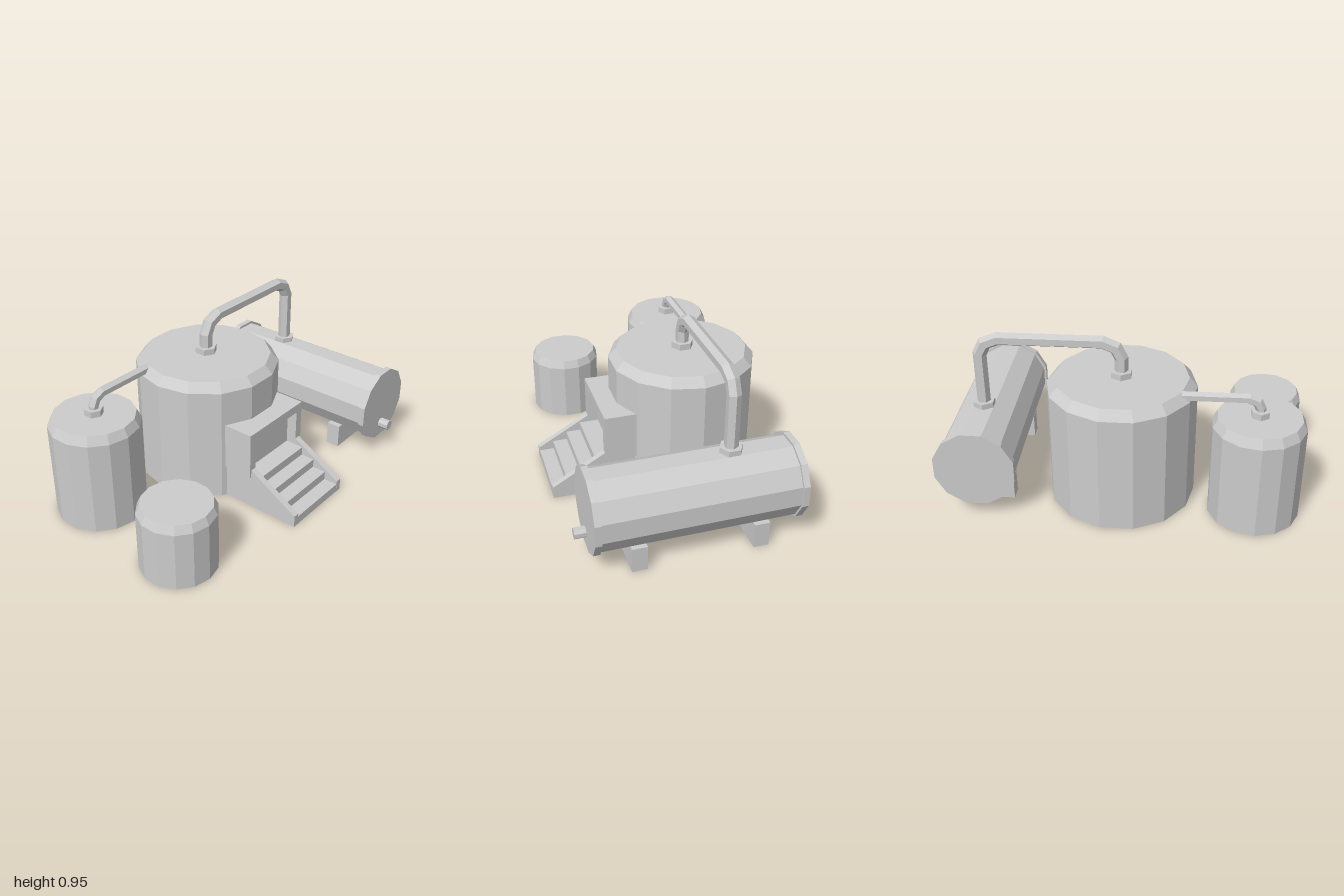
import * as THREE from 'three';

export function createModel() {
  const model = new THREE.Group();
  model.name = 'distillery';
  const metal = new THREE.MeshStandardMaterial({ color: 0xcccccc });
  metal.name = 'plain grey';

  // Every part is faceted, so normals are taken per face
  function add(name, geometry, x = 0, y = 0, z = 0) {
    const flat = geometry.index ? geometry.toNonIndexed() : geometry;
    flat.computeVertexNormals();
    const mesh = new THREE.Mesh(flat, metal);
    mesh.name = name;
    mesh.position.set(x, y, z);
    model.add(mesh);
    return mesh;
  }

  // Box given by its limits
  function box(name, x0, x1, y0, y1, z0, z1) {
    return add(name, new THREE.BoxGeometry(x1 - x0, y1 - y0, z1 - z0),
      (x0 + x1) / 2, (y0 + y1) / 2, (z0 + z1) / 2);
  }

  // Upright tank with a bevelled top rim
  function tank(name, x, z, r, topR, shoulder, height, turn) {
    const profile = [[0, 0], [r, 0], [r, shoulder], [topR, height], [0, height]]
      .map(p => new THREE.Vector2(...p));
    add(name, new THREE.LatheGeometry(profile, 14), x, 0, z).rotation.y = turn;
  }

  // Cylinder lying along z, with flats on top and at the sides
  function lying(name, r, z0, z1, x, y, sides) {
    const g = new THREE.CylinderGeometry(r, r, z1 - z0, sides);
    g.rotateY(Math.PI / sides).rotateX(Math.PI / 2);
    add(name, g, x, y, (z0 + z1) / 2);
  }

  // Six-sided pipe with mitred bends along a path in a plane of constant z
  function pipe(name, path, r, z) {
    const pts = path.map(p => new THREE.Vector2(...p));
    const pos = [], index = [], n = 6;
    pts.forEach((p, i) => {
      const a = pts[Math.max(i - 1, 0)], b = pts[Math.min(i + 1, pts.length - 1)];
      const d0 = (i ? p.clone().sub(a) : b.clone().sub(p)).normalize();
      const d1 = (i < pts.length - 1 ? b.clone().sub(p) : p.clone().sub(a)).normalize();
      const d = d0.clone().add(d1).normalize();
      const stretch = 1 / d.dot(d0);
      for (let k = 0; k < n; k++) {
        const t = k / n * Math.PI * 2, s = Math.cos(t) * r * stretch;
        pos.push(p.x - d.y * s, p.y + d.x * s, Math.sin(t) * r);
      }
      if (i) for (let k = 0; k < n; k++) {
        const q = (i - 1) * n + k, w = (i - 1) * n + (k + 1) % n;
        index.push(q, q + n, w, w, q + n, w + n);
      }
    });
    // End caps
    const last = (pts.length - 1) * n;
    for (let k = 1; k < n - 1; k++) {
      index.push(0, k, k + 1, last, last + k + 1, last + k);
    }
    // Set the winding so that faces point outwards
    const g = new THREE.BufferGeometry();
    g.setAttribute('position', new THREE.Float32BufferAttribute(pos, 3));
    const v = i => new THREE.Vector3().fromArray(pos, i * 3);
    let volume = 0;
    for (let i = 0; i < index.length; i += 3) {
      volume += v(index[i]).dot(v(index[i + 1]).cross(v(index[i + 2])));
    }
    if (volume < 0) index.reverse();
    g.setIndex(index);
    add(name, g, 0, 0, z);
  }

  function flange(name, r, x, y0, y1, z) {
    add(name, new THREE.CylinderGeometry(r, r, y1 - y0, 6), x, (y0 + y1) / 2, z);
  }

  // Tanks
  tank('mainTank', 0.025, -0.2, 0.407, 0.362, 0.665, 0.715, Math.PI / 2);
  tank('sideTank', -0.708, -0.355, 0.25, 0.225, 0.54, 0.59, 0);
  tank('smallTank', -0.793, 0.303, 0.208, 0.187, 0.335, 0.38, 0);

  // Horizontal tank with end rims, spout and supports
  lying('horizontalTank', 0.21, -0.53, 0.52, 0.782, 0.3, 12);
  lying('frontRim', 0.223, 0.505, 0.54, 0.782, 0.302, 12);
  lying('backRim', 0.223, -0.55, -0.515, 0.782, 0.302, 12);
  lying('spout', 0.03, 0.53, 0.6, 0.78, 0.171, 8);
  box('frontSupport', 0.615, 0.945, 0, 0.14, 0.268, 0.35);
  box('backSupport', 0.615, 0.945, 0, 0.14, -0.375, -0.293);

  // Pipes and their collars
  pipe('mainPipe', [[0.025, 0.7], [0.025, 0.82], [0.055, 0.88], [0.125, 0.91],
    [0.68, 0.91], [0.752, 0.88], [0.782, 0.82], [0.782, 0.48]], 0.037, -0.207);
  flange('mainPipeCollar', 0.062, 0.025, 0.71, 0.75, -0.207);
  flange('horizontalTankCollar', 0.062, 0.782, 0.495, 0.533, -0.207);
  pipe('sidePipe', [[-0.708, 0.58], [-0.708, 0.635], [-0.69, 0.672], [-0.645, 0.692],
    [-0.3, 0.692]], 0.028, -0.355);
  flange('sidePipeCollar', 0.052, -0.708, 0.58, 0.625, -0.355);

  // Firebox: a frame around the opening, closed behind
  const frame = new THREE.Shape([[-0.21, 0.195], [0.26, 0.195], [0.26, 0.465], [-0.21, 0.465]]
    .map(p => new THREE.Vector2(...p)));
  frame.holes.push(new THREE.Path([[-0.165, 0.2], [-0.165, 0.415], [0.213, 0.415], [0.213, 0.2]]
    .map(p => new THREE.Vector2(...p))));
  add('fireboxFrame', new THREE.ExtrudeGeometry(frame, { depth: 0.06, bevelEnabled: false }), 0, 0, 0.243);
  box('fireboxBody', -0.21, 0.26, 0.195, 0.465, 0, 0.243);

  // Stair cheeks with sloping tops
  const cheek = new THREE.Shape([[-0.6, 0], [-0.05, 0], [-0.05, 0.24], [-0.303, 0.24], [-0.6, 0.07]]
    .map(p => new THREE.Vector2(...p)));
  for (const [name, x0, x1] of [['rightCheek', -0.2, -0.165], ['leftCheek', 0.213, 0.248]]) {
    const g = new THREE.ExtrudeGeometry(cheek, { depth: x1 - x0, bevelEnabled: false });
    g.rotateY(Math.PI / 2);
    add(name, g, x0, 0, 0);
  }

  // Steps
  for (let i = 0; i < 4; i++) {
    box('step', -0.165, 0.213, i * 0.05, (i + 1) * 0.05, 0.05, 0.599 - i * 0.082);
  }
  return model;
}
